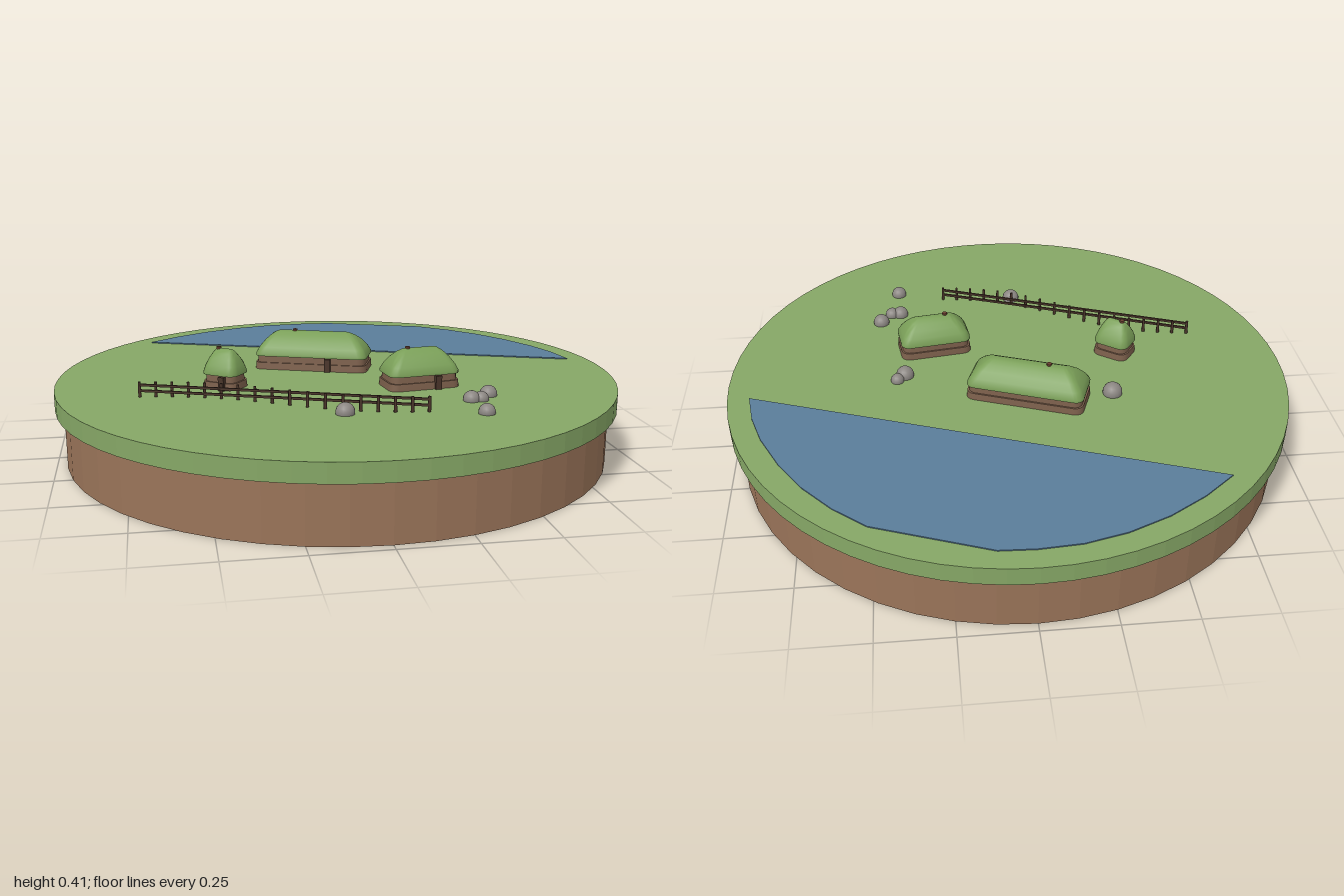
import * as THREE from 'three';
import { toCreasedNormals } from 'three/addons/utils/BufferGeometryUtils.js';

const GROUND = 0.265;
const mat = (name, color, extra = {}) => Object.assign(new THREE.MeshStandardMaterial({ color, ...extra }), { name });

// Rounded rectangle outline with half sizes hx, hz
function roundedRing(hx, hz, r, y) {
  const pts = [];
  r = Math.min(r, hx, hz);
  for (let c = 0; c < 4; c++) {
    const sx = c === 0 || c === 3 ? 1 : -1, sz = c < 2 ? 1 : -1;
    for (let k = 0; k <= 4; k++) {
      const a = (c + k / 4) * Math.PI / 2;
      pts.push([sx * (hx - r) + r * Math.cos(a), y, sz * (hz - r) + r * Math.sin(a)]);
    }
  }
  return pts;
}

// Skin a stack of rings and close the top
function loft(rings, crease) {
  const pos = [], n = rings[0].length, idx = [];
  rings.forEach(r => r.forEach(p => pos.push(...p)));
  for (let i = 0; i < rings.length - 1; i++) {
    for (let j = 0; j < n; j++) {
      const a = i * n + j, b = i * n + (j + 1) % n;
      idx.push(a, a + n, b, b, a + n, b + n);
    }
  }
  const top = (rings.length - 1) * n;
  for (let j = 1; j < n - 1; j++) idx.push(top, top + j + 1, top + j);
  const g = new THREE.BufferGeometry();
  g.setAttribute('position', new THREE.Float32BufferAttribute(pos, 3));
  g.setIndex(idx);
  return toCreasedNormals(g, crease);
}

export function createModel() {
  const root = new THREE.Group();
  root.name = 'settlement';
  const grass = mat('grass', 0x86a766, { flatShading: true });
  const soil = mat('soil', 0x9a7459, { flatShading: true });
  const water = mat('water', 0x5a7d9a);
  const turf = mat('turf', 0x7a9f58);
  const stoneWall = mat('wall', 0x7d604c);
  const wood = mat('wood', 0x4a352a);
  const smoke = mat('smokeHole', 0x6b4030);
  const rock = mat('rock', 0x8b8682);

  const add = (parent, name, geo, material, x = 0, y = 0, z = 0) => {
    const m = new THREE.Mesh(geo, material);
    m.name = name;
    m.position.set(x, y, z);
    parent.add(m);
    return m;
  };

  // Round base
  add(root, 'soilBase', new THREE.CylinderGeometry(0.97, 0.97, 0.2, 48), soil, 0, 0.1, 0);
  add(root, 'grassDisc', new THREE.CylinderGeometry(1, 1, GROUND - 0.2, 64), grass, 0, (GROUND + 0.2) / 2, 0);

  // Lake with a straight shore
  const shore = [[-0.66, -0.65], [-0.55, -0.74], [-0.42, -0.82], [-0.28, -0.88], [-0.14, -0.915], [0, -0.925],
    [0.12, -0.92], [0.5, -0.78], [0.61, -0.69], [0.71, -0.58], [0.79, -0.46], [0.86, -0.32], [0.9, -0.2], [0.92, -0.08]];
  const lake = new THREE.ExtrudeGeometry(
    new THREE.Shape(shore.map(([x, z]) => new THREE.Vector2(x, -z))), { depth: 0.007, bevelEnabled: false });
  lake.rotateX(-Math.PI / 2);
  add(root, 'lake', lake, water, 0, GROUND - 0.003, 0);

  // Turf-roofed houses: x, z, length, width, turn
  const houses = [
    ['longHouse', -0.06, -0.14, 0.42, 0.17, -0.35],
    ['hut', -0.41, 0.105, 0.135, 0.115, -0.62],
    ['sideHouse', 0.26, 0.2, 0.26, 0.15, 0.14],
  ];
  for (const [name, x, z, L, W, turn] of houses) {
    const house = new THREE.Group();
    house.name = name;
    house.position.set(x, 0, z);
    house.rotation.y = turn;
    root.add(house);
    const hx = L / 2, hz = W / 2;
    const inset = Math.min(hz, L * 0.3);
    add(house, 'footing', loft([
      roundedRing(hx, hz, 0.03, GROUND), roundedRing(hx - 0.002, hz - 0.002, 0.03, 0.29)], 0.7), stoneWall);
    add(house, 'walls', loft([
      roundedRing(hx - 0.007, hz - 0.007, 0.028, 0.28), roundedRing(hx - 0.009, hz - 0.009, 0.028, 0.318)], 0.7), stoneWall);
    const profile = [[0.314, 0.1], [0.314, 0.02], [0.323, 0.02], [0.345, 0.16], [0.368, 0.38], [0.386, 0.62], [0.396, 0.83], [0.4, 0.97]];
    add(house, 'turfRoof', loft(profile.map(([y, s]) =>
      roundedRing(hx - inset * s, hz * (1 - s), 0.03 * (1 - s * 0.5), y)), 0.8), turf);
    add(house, 'door', new THREE.BoxGeometry(0.022, 0.048, 0.016), wood, L * 0.16, GROUND + 0.024, hz + 0.002);
    add(house, 'smokeHole', new THREE.CylinderGeometry(0.009, 0.009, 0.012, 10), smoke, -L * 0.17, 0.399, 0);
  }

  // Fence: straight rails, posts weaving along an S curve
  const fence = new THREE.Group();
  fence.name = 'fence';
  root.add(fence);
  const start = new THREE.Vector2(-0.705, 0.2), end = new THREE.Vector2(0.21, 0.542);
  const run = end.clone().sub(start), mid = start.clone().lerp(end, 0.5);
  const postGeo = new THREE.CylinderGeometry(0.005, 0.006, 0.052, 6);
  for (let i = 0; i <= 17; i++) {
    const t = i / 17;
    add(fence, 'post', postGeo, wood,
      start.x + run.x * t, GROUND + 0.026, start.y + run.y * t - 0.035 * Math.sin(2 * Math.PI * t));
  }
  for (const y of [0.287, 0.307]) {
    const rail = add(fence, 'rail', new THREE.BoxGeometry(run.length(), 0.008, 0.007), wood, mid.x, y, mid.y);
    rail.rotation.y = -Math.atan2(run.y, run.x);
  }

  // Half-buried boulders: x, z, radius
  const boulders = [[-0.355, -0.165, 0.035], [0.372, 0.012, 0.032], [0.4, -0.018, 0.024], [0.457, 0.382, 0.03],
    [0.382, 0.436, 0.029], [0.415, 0.436, 0.026], [0.386, 0.592, 0.028], [-0.06, 0.52, 0.032]];
  for (const [x, z, r] of boulders) {
    add(root, 'boulder', new THREE.SphereGeometry(r, 16, 12), rock, x, GROUND + r * 0.2, z);
  }
  return root;
}
